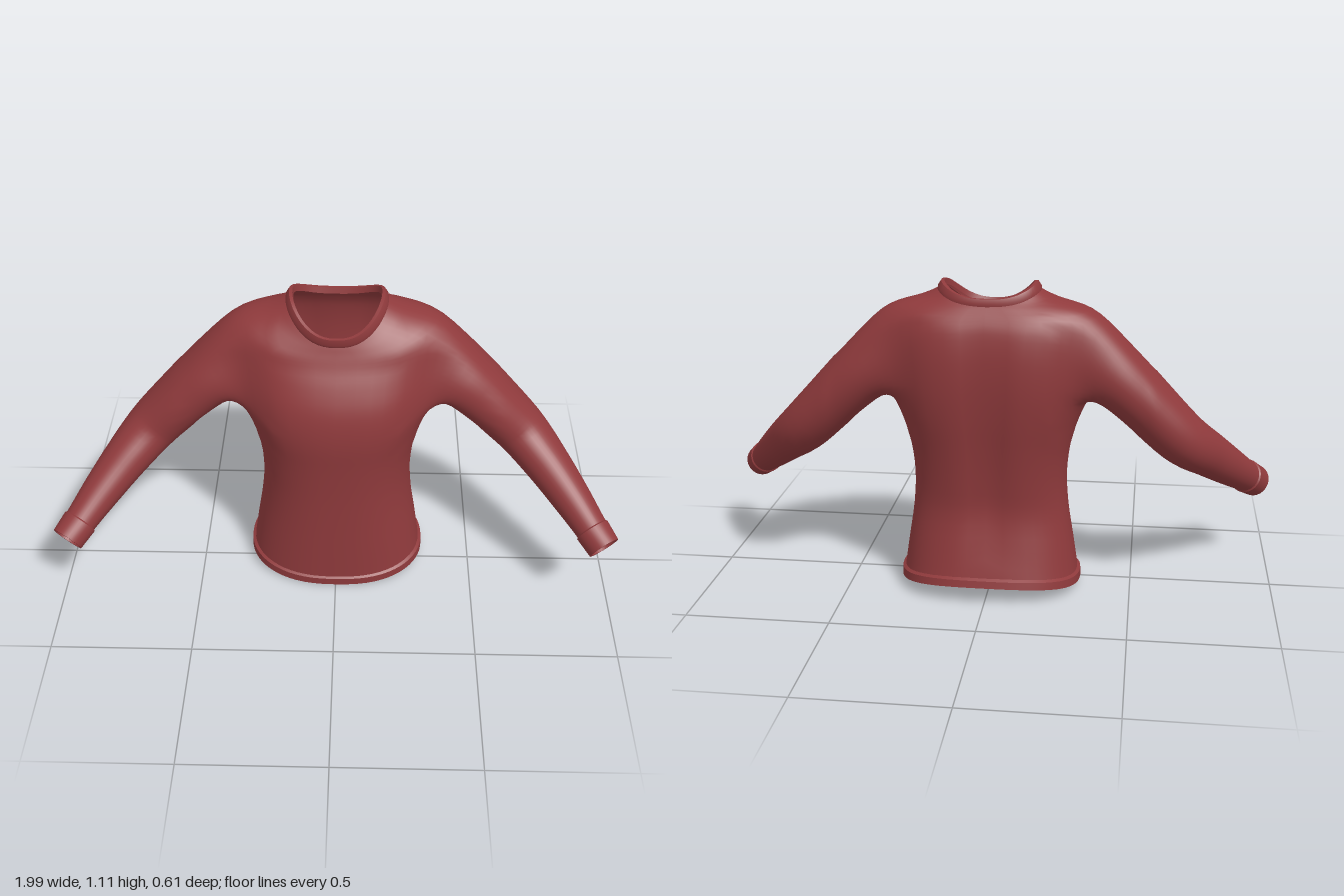
import * as THREE from 'three';
import { mergeVertices, toCreasedNormals } from 'three/addons/utils/BufferGeometryUtils.js';

const V = (x, y, z) => new THREE.Vector3(x, y, z);
const COLS = 24;   // columns on each half of the torso
const SUB = 3;     // rows between torso sections

// Torso sections: half width, front z, back z, then height at front, side and back
const TORSO = [
  [0.312, 0.155, -0.285, 0.035, 0.055, 0.095],
  [0.295, 0.155, -0.262, 0.16, 0.17, 0.19],
  [0.275, 0.155, -0.24, 0.30, 0.30, 0.31],
  [0.268, 0.157, -0.25, 0.42, 0.42, 0.42],
  [0.28, 0.163, -0.268, 0.54, 0.54, 0.54],
  [0.31, 0.170, -0.284, 0.64, 0.63, 0.64],
  [0.337, 0.165, -0.294, 0.72, 0.70, 0.73],
  [0.348, 0.148, -0.297, 0.79, 0.78, 0.81],
  [0.358, 0.115, -0.292, 0.86, 0.86, 0.89],
  [0.37, 0.085, -0.277, 0.91, 0.94, 0.96],
  [0.375, 0.067, -0.256, 0.945, 1.015, 1.0],
  [0.29, 0.057, -0.238, 0.965, 1.045, 1.025],
  [0.215, 0.05, -0.226, 0.98, 1.065, 1.04],
  [0.165, 0.045, -0.215, 0.99, 1.09, 1.05],
];
// Rows and columns left open for each armhole
const HOLE = { r0: 6 * SUB, r1: 10 * SUB, k0: 7, k1: 16 };

// Sleeve centre line, and its radii (up, forward) at the same points
const ARM = new THREE.CatmullRomCurve3([
  V(0.43, 0.795, -0.1), V(0.54, 0.69, -0.093), V(0.66, 0.57, -0.07), V(0.755, 0.485, 0.02),
  V(0.84, 0.405, 0.12), V(0.9, 0.347, 0.2), V(0.947, 0.303, 0.265),
]);
const ARM_R = new THREE.CatmullRomCurve3([
  V(0.112, 0.14, 0), V(0.1, 0.13, 0), V(0.092, 0.11, 0), V(0.08, 0.09, 0),
  V(0.068, 0.073, 0), V(0.058, 0.06, 0), V(0.053, 0.053, 0),
]);

// One point of a torso section; t = 0 is the left side, t = PI/2 the front
function sectionPoint([w, zF, zB, yF, yS, yB], t, groove = 0) {
  const c = Math.cos(t), s = Math.sin(t), front = s > 0;
  const p = front ? 0.82 : 0.75;
  const x = Math.abs(c) < 1e-6 ? 0 : w * Math.sign(c) * Math.abs(c) ** p;
  const y = yS + ((front ? yF : yB) - yS) * s * s;
  const zc = -0.06 - 0.05 * yS;
  let z = zc + Math.sign(s) * Math.abs(s) ** 0.9 * (front ? zF - zc : zc - zB);
  if (!front) z += groove * Math.exp(-((x / 0.06) ** 2)) * s * s;
  return V(x, y, z);
}

// One point around the sleeve at u; angle 0 is the top, PI/2 the front
function sleevePoint(u, a, extra = 0) {
  const T = ARM.getTangent(u), R = ARM_R.getPoint(u);
  const F = V(0, 0, 1).addScaledVector(T, -T.z).normalize();
  const U = F.clone().cross(T);
  return ARM.getPoint(u)
    .addScaledVector(U, Math.cos(a) * (R.x + extra))
    .addScaledVector(F, Math.sin(a) * (R.y + extra));
}

function toGeometry(points, index) {
  const g = new THREE.BufferGeometry();
  g.setAttribute('position', new THREE.Float32BufferAttribute(points.flatMap((p) => p.toArray()), 3));
  g.setIndex(index);
  return g;
}

// Skin closed rings of points; flip reverses the faces
function loft(rings, flip) {
  const n = rings[0].length, index = [];
  for (let r = 0; r < rings.length - 1; r++) {
    for (let k = 0; k < n; k++) {
      const a = r * n + k, b = r * n + ((k + 1) % n), d = a + n, e = b + n;
      if (flip) index.push(a, b, d, b, e, d);
      else index.push(a, d, b, b, d, e);
    }
  }
  return toCreasedNormals(toGeometry(rings.flat(), index), 0.7);
}

// Knitted band that follows torso-like sections
const band = (sections) => loft(sections.map((sec) =>
  Array.from({ length: 64 }, (_, k) => sectionPoint(sec, (k / 64) * Math.PI * 2))), false);

// Left half of the torso with its sleeve grown out of the armhole
function halfBody() {
  const points = [], index = [], n = COLS + 1, rows = (TORSO.length - 1) * SUB;
  const spline = (i) => new THREE.CatmullRomCurve3(
    TORSO.map((s) => V(s[i], s[i + 1], s[i + 2])), false, 'catmullrom', 0.5);
  const size = spline(0), height = spline(3);
  for (let r = 0; r <= rows; r++) {
    const sec = [...size.getPoint(r / rows).toArray(), ...height.getPoint(r / rows).toArray()];
    const groove = 0.026 * Math.max(0, Math.sin(Math.PI * (sec[4] - 0.1)));
    for (let k = 0; k < n; k++) points.push(sectionPoint(sec, (k / COLS - 0.5) * Math.PI, groove));
  }
  const { r0, r1, k0, k1 } = HOLE;
  for (let r = 0; r < rows; r++) {
    for (let k = 0; k < COLS; k++) {
      if (r >= r0 && r < r1 && k >= k0 && k < k1) continue;
      const a = r * n + k;
      index.push(a, a + n, a + 1, a + 1, a + n, a + n + 1);
    }
  }

  // Armhole rim: over the top, down the front, along the bottom, up the back
  let loop = [];
  for (let k = k0; k < k1; k++) loop.push(r1 * n + k);
  for (let r = r1; r > r0; r--) loop.push(r * n + k1);
  for (let k = k1; k > k0; k--) loop.push(r0 * n + k);
  for (let r = r0; r < r1; r++) loop.push(r * n + k0);
  const rim = loop.map((i) => points[i].clone());
  const mid = rim.reduce((m, p) => m.addScaledVector(p, 1 / rim.length), V(0, 0, 0));
  const angles = rim.map((p) => Math.atan2((p.z - mid.z) / 0.13, (p.y - mid.y) / 0.15));

  // Blended shoulder rings, then the sleeve itself
  const rings = [0.25, 0.5, 0.75].map((f) => rim.map((p, i) => p.clone().lerp(sleevePoint(0, angles[i]), f)));
  for (let j = 0; j <= 26; j++) rings.push(angles.map((a) => sleevePoint((j / 26) * 0.93, a)));
  for (const ring of rings) {
    const next = ring.map((p) => points.push(p) - 1);
    loop.forEach((a, i) => {
      const m = (i + 1) % loop.length;
      index.push(a, loop[m], next[i], loop[m], next[m], next[i]);
    });
    loop = next;
  }

  // Relax the cloth around the armhole
  const near = points.map(() => new Set());
  for (let i = 0; i < index.length; i += 3) {
    for (let j = 0; j < 3; j++) {
      const a = index[i + j], b = index[i + ((j + 1) % 3)];
      near[a].add(b);
      near[b].add(a);
    }
  }
  for (let pass = 0; pass < 6; pass++) {
    const old = points.map((p) => p.clone());
    points.forEach((p, i) => {
      if (!near[i].size || p.y < 0.6 || p.x < 0.22 || p.x > 0.55) return;
      const avg = V(0, 0, 0);
      near[i].forEach((j) => avg.addScaledVector(old[j], 1 / near[i].size));
      p.lerp(avg, 0.5);
    });
  }
  return { points, index };
}

export function createModel() {
  const group = new THREE.Group();
  group.name = 'sweater';
  const redCloth = new THREE.MeshStandardMaterial({ color: 0x8f3a3c, side: THREE.DoubleSide });
  redCloth.name = 'redCloth';
  const add = (name, geometry) => {
    const mesh = new THREE.Mesh(geometry, redCloth);
    mesh.name = name;
    group.add(mesh);
  };

  // Torso and both sleeves, welded along the centre line
  const { points, index } = halfBody(), count = points.length;
  const mirrored = points.map((p) => V(-p.x, p.y, p.z));
  const mirroredIndex = index.map((_, i) => index[i - (i % 3) + 2 - (i % 3)] + count);
  const body = mergeVertices(toGeometry([...points, ...mirrored], [...index, ...mirroredIndex]), 1e-4);
  body.computeVertexNormals();
  add('torsoAndSleeves', body);

  // Neck band: outside, rounded top, inside
  add('collar', band([
    [0.176, 0.048, -0.222, 0.985, 1.08, 1.04],
    [0.174, 0.054, -0.224, 0.996, 1.095, 1.052],
    [0.163, 0.053, -0.217, 1.018, 1.112, 1.066],
    [0.152, 0.044, -0.206, 1.02, 1.112, 1.066],
    [0.149, 0.036, -0.2, 1.0, 1.09, 1.045],
  ]));

  // Waist band: inside, bottom edge, outside, top edge
  add('hem', band([
    [0.306, 0.15, -0.278, 0.04, 0.06, 0.1],
    [0.312, 0.152, -0.288, 0.004, 0.03, 0.066],
    [0.322, 0.162, -0.301, 0.002, 0.03, 0.066],
    [0.321, 0.163, -0.295, 0.03, 0.06, 0.09],
    [0.31, 0.156, -0.284, 0.036, 0.066, 0.097],
  ]));

  // Wrist bands
  const cuff = [[0.85, -0.002], [0.862, 0.005], [1, 0.005], [1, -0.003], [0.87, -0.006]];
  for (const [name, side] of [['leftCuff', 1], ['rightCuff', -1]]) {
    const rings = cuff.map(([u, extra]) => Array.from({ length: 32 }, (_, k) => {
      const p = sleevePoint(u, (k / 32) * Math.PI * 2, extra);
      p.x *= side;
      return p;
    }));
    add(name, loft(rings, side > 0));
  }
  return group;
}
